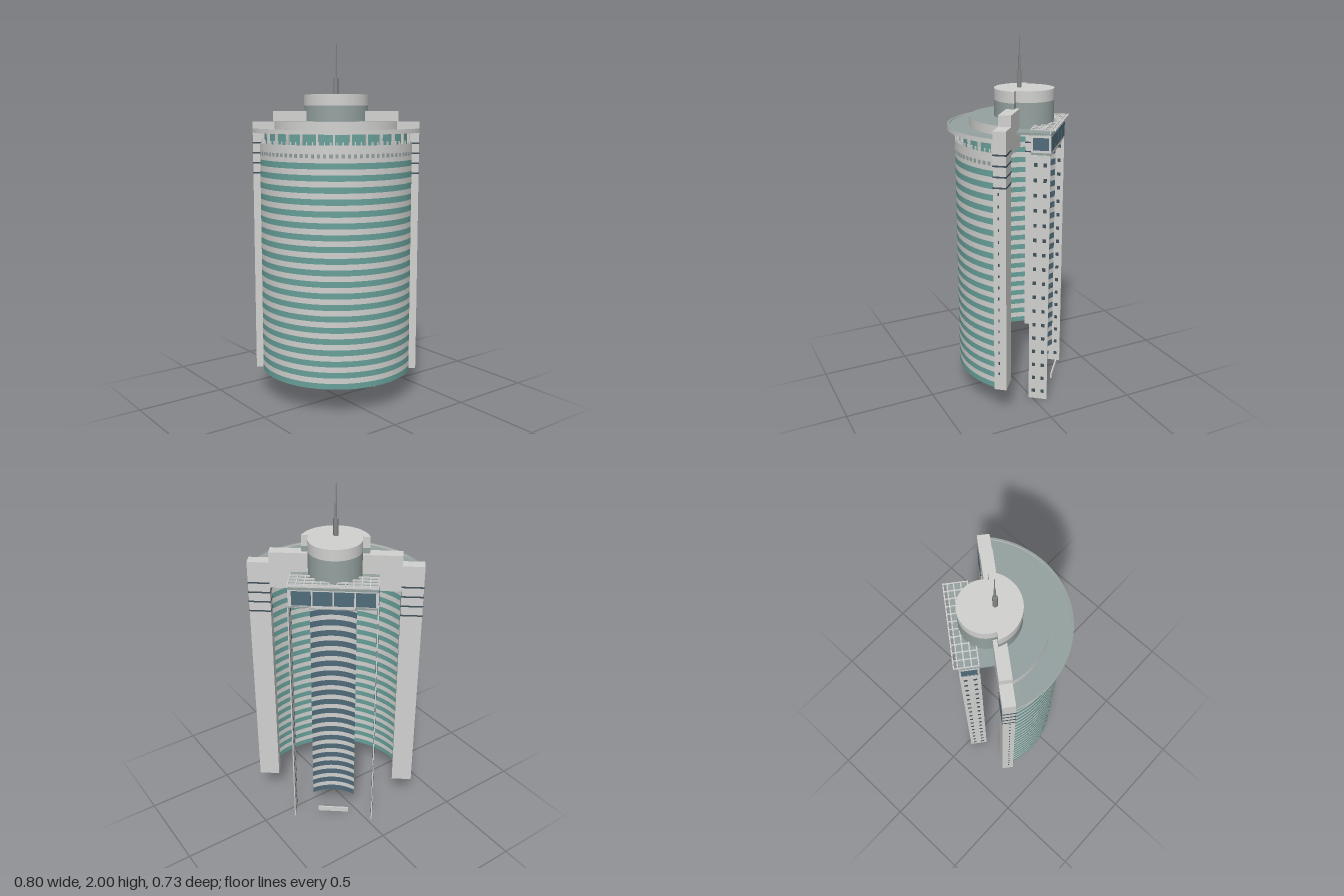
import * as THREE from 'three';

const mat = (name, color, side = THREE.FrontSide) => {
  const m = new THREE.MeshStandardMaterial({ color, side });
  m.name = name;
  return m;
};

export function createModel() {
  const D = THREE.DoubleSide;
  const white = mat('pale concrete', 0xd0d1cf, D);
  const teal = mat('teal glass', 0x68a09a, D);
  const blue = mat('blue glass', 0x506b7a, D);
  const roof = mat('grey green roofing', 0x94a19f, D);
  const dark = mat('dark window', 0x40505a);
  const metal = mat('grey metal', 0x858888);

  const CHORD = 0.13; // straight back edge of the round plan, in front of the centre
  const PITCH = 0.0625; // storey height

  const model = new THREE.Group();
  model.name = 'roundTower';
  // local frame: +z is the middle of the curved front, x runs along the straight back
  const tower = new THREE.Group();
  tower.name = 'building';
  tower.position.set(0.08, 0, -0.118);
  tower.rotation.y = -0.678;
  model.add(tower);

  const add = (name, geo, material, parent = tower) => {
    const m = new THREE.Mesh(geo, material);
    m.name = name;
    parent.add(m);
    return m;
  };
  // box given by its limits
  const block = (name, x0, x1, y0, y1, z0, z1, material) => {
    const g = new THREE.BoxGeometry(x1 - x0, y1 - y0, z1 - z0);
    g.translate((x0 + x1) / 2, (y0 + y1) / 2, (z0 + z1) / 2);
    return add(name, g, material);
  };
  // curved wall, open at both ends
  const arcWall = (name, r, y0, y1, half, material, zc = 0, seg = 64) => {
    const g = new THREE.LatheGeometry(
      [new THREE.Vector2(r, y0), new THREE.Vector2(r, y1)], seg, -half, half * 2);
    return add(name, g.translate(0, 0, zc), material);
  };
  const halfAngle = r => Math.acos(CHORD / r);
  // horizontal slab from a plan shape (shape y becomes z)
  const slab = (name, shape, y0, y1, materials) => {
    const g = new THREE.ExtrudeGeometry(shape, { depth: y1 - y0, bevelEnabled: false, curveSegments: 64 });
    g.rotateX(Math.PI / 2).translate(0, y1, 0);
    return add(name, g, materials);
  };
  const segment = r => {
    const a = Math.asin(CHORD / r);
    const s = new THREE.Shape();
    s.absarc(0, 0, r, a, Math.PI - a, false);
    s.closePath();
    return s;
  };

  // curved facade: alternating glass and concrete
  const R = 0.44;
  for (let i = 0; i < 20; i++) {
    const y = 0.155 + i * PITCH;
    arcWall('facadeGlass', R, y, y + 0.032, halfAngle(R), teal);
    arcWall('facadeSpandrel', R, y + 0.032, i === 19 ? 1.465 : y + PITCH, halfAngle(R), white);
  }
  // small windows and rail posts at the head of the facade
  for (let i = 0; i < 34; i++) {
    const a = (i / 33 - 0.5) * 2.4;
    const w = add('facadeVent', new THREE.BoxGeometry(0.016, 0.02, 0.006), roof);
    w.position.set(R * Math.sin(a), 1.41, R * Math.cos(a));
    w.rotation.y = a;
    const p = add('parapetPost', new THREE.BoxGeometry(0.006, 0.02, 0.006), white);
    p.position.set((R - 0.004) * Math.sin(a), 1.472, (R - 0.004) * Math.cos(a));
    p.rotation.y = a;
  }

  // top storey: floor, recessed glass, columns
  slab('topFloor', segment(R - 0.002), 1.44, 1.45, roof);
  arcWall('topGlass', 0.415, 1.45, 1.525, halfAngle(0.415), teal);
  for (let i = 0; i < 13; i++) {
    const a = (i / 12 - 0.5) * 2.45;
    const c = add('topColumn', new THREE.BoxGeometry(0.01, 0.075, 0.014), white);
    c.position.set(0.425 * Math.sin(a), 1.4875, 0.425 * Math.cos(a));
    c.rotation.y = a;
  }

  // round roof canopy with a raised rim, then the upper tier
  slab('roofCanopy', segment(0.48), 1.525, 1.537, [roof, white]);
  arcWall('canopyRim', 0.48, 1.522, 1.545, halfAngle(0.48), white);
  arcWall('canopyInnerRim', 0.469, 1.537, 1.545, halfAngle(0.469), white);
  const rim = new THREE.RingGeometry(0.469, 0.48, 64, 1, Math.asin(CHORD / 0.47), Math.PI - 2 * Math.asin(CHORD / 0.47));
  rim.rotateX(Math.PI / 2).translate(0, 1.545, 0);
  add('canopyRimTop', rim, roof);
  slab('upperTier', segment(0.362), 1.537, 1.585, [roof, white]);
  block('backWall', -0.36, 0.36, 1.44, 1.583, CHORD - 0.012, CHORD, white);

  // drum on the roof: wider front half, narrower rear half
  const drumPlan = () => {
    const s = new THREE.Shape(), cz = 0.05, step = 0.036;
    const a = Math.asin(step / 0.18), b = Math.asin(step / 0.14);
    s.absarc(0, cz, 0.18, a, Math.PI - a, false);
    s.absarc(0, cz, 0.14, Math.PI - b, Math.PI * 2 + b, false);
    s.closePath();
    return s;
  };
  slab('roofDrumBase', drumPlan(), 1.53, 1.67, roof);
  slab('roofDrumTop', drumPlan(), 1.67, 1.73, white);

  // mast
  [[0.013, 1.73, 1.82], [0.006, 1.82, 1.9], [0.0022, 1.9, 2]].forEach(([r, y0, y1]) => {
    const g = new THREE.CylinderGeometry(r, r, y1 - y0, 12);
    add('mast', g.translate(0, (y0 + y1) / 2, 0.0965), metal);
  });

  // both ends: fin wall, stepped block, windowed pier
  for (const s of [-1, 1]) {
    const side = (name, a, b, ...rest) => block(name, Math.min(s * a, s * b), Math.max(s * a, s * b), ...rest);
    side('finWall', 0.345, 0.46, 0.17, 1.583, 0.064, CHORD, white);
    for (const y of [1.3, 1.355, 1.41, 1.465])
      side('finGroove', 0.344, 0.462, y - 0.004, y + 0.004, 0.062, 0.132, dark);
    for (let i = 0; i < 17; i++)
      side('finVent', 0.458, 0.462, 0.26 + i * PITCH, 0.275 + i * PITCH, 0.1, 0.106, dark);
    side('steppedBlock', 0.12, 0.345, 1.44, 1.64, 0.064, CHORD, white);
    side('pier', 0.226, 0.232, 0, 1.42, -0.117, -0.013, white);
    for (let i = 0; i < 17; i++)
      for (const z of [-0.09, -0.04])
        side('pierWindow', 0.2245, 0.2335, 0.04 + i * 0.0825, 0.06 + i * 0.0825, z - 0.009, z + 0.009, dark);
    side('loungeFloor', 0.11, 0.229, 1.42, 1.432, -0.117, -0.015, roof);
    side('loungeSideWall', 0.222, 0.229, 1.432, 1.53, -0.117, -0.015, white);
    side('loungeSideGlass', 0.228, 0.232, 1.445, 1.51, -0.107, -0.025, blue);
  }

  // inward curved rear shaft between the piers
  const r = 0.218, half = Math.asin(0.12 / r);
  for (let i = 0; i < 20; i++) {
    const y = 0.165 + i * PITCH;
    arcWall('shaftGlass', r, y, y + 0.034, half, blue, -0.268, 16);
    arcWall('shaftSpandrel', r, y + 0.034, y + PITCH, half, white, -0.268, 16);
  }

  // rear lounge above the piers
  block('loungeBackWall', -0.229, 0.229, 1.42, 1.53, -0.117, -0.108, white);
  block('loungeCentreFloor', -0.12, 0.12, 1.415, 1.425, -0.117, -0.03, roof);
  for (let i = 0; i < 4; i++) {
    const x = -0.215 + i * 0.1085;
    block('loungeWindow', x, x + 0.1, 1.437, 1.515, -0.12, -0.116, blue);
  }
  block('loungeRoof', -0.229, 0.229, 1.522, 1.535, -0.12, 0.12, roof);

  // pergola over the lounge
  for (const z of [-0.138, -0.118, -0.085, -0.05, -0.015])
    block('pergolaRail', -0.229, 0.229, 1.548, 1.556, z - 0.003, z + 0.003, white);
  for (let i = 0; i < 12; i++) {
    const x = -0.226 + i * 0.0411;
    block('pergolaBar', x - 0.0025, x + 0.0025, 1.549, 1.555, -0.14, -0.015, white);
    if (i % 3 === 0 || i === 11)
      block('pergolaPost', x - 0.003, x + 0.003, 1.53, 1.55, -0.117, -0.111, white);
  }

  // entrance panel low between the piers
  block('entrancePanel', -0.088, 0.088, 0.055, 0.085, -0.121, -0.113, white);

  return model;
}
